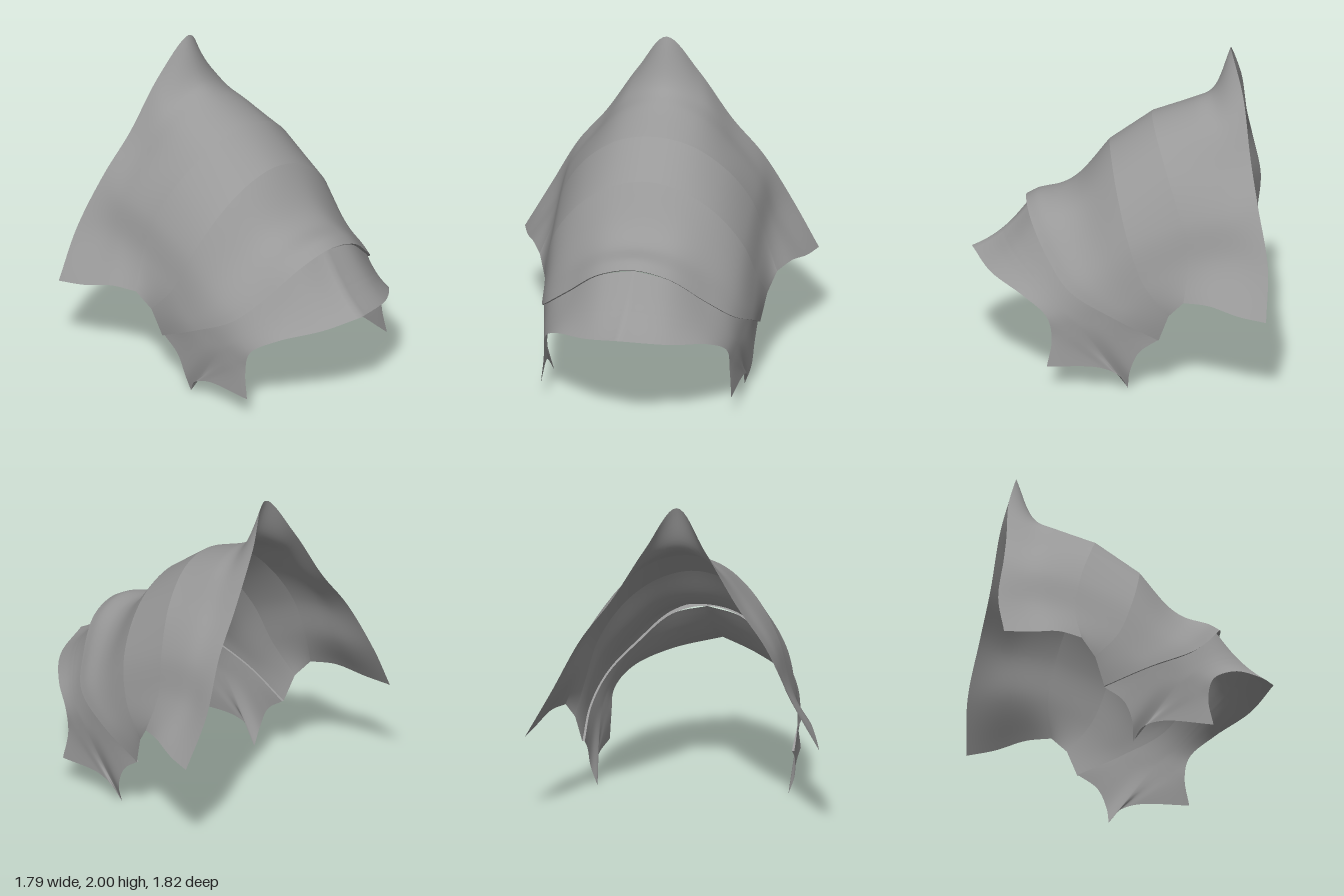
import * as THREE from 'three';
import { mergeVertices } from 'three/addons/utils/BufferGeometryUtils.js';

const V = (p) => new THREE.Vector3(p[0], p[1], p[2]);
const flip = (p) => [p[0], p[1], -p[2]];
const spline = (pts, n) => new THREE.CatmullRomCurve3(pts).getPoints(n);
const blend = (a, b, t) => a.map((p, c) => p.map((v, k) => v + (b[c][k] - v) * t));

// Arch across the shell, from the +z hem over the ridge to the -z hem
function arch(half, ridged) {
  const left = half.slice().reverse().map(V);
  const right = half.map(flip).map(V);
  right[0].copy(left[left.length - 1]);
  if (ridged) return [...spline(left, 40), ...spline(right, 40).slice(1)];
  return spline([...left, ...right.slice(1)], 80);
}

// Skin through half arches; each panel is smooth along its length
function skin(panels, ridged = false) {
  const pos = [], index = [];
  for (const rows of panels) {
    const arches = rows.map((r) => arch(r, ridged));
    const steps = (rows.length - 1) * 8, cols = arches[0].length;
    const base = pos.length / 3;
    const lines = arches[0].map((_, j) => spline(arches.map((a) => a[j]), steps));
    for (let i = 0; i <= steps; i++) {
      for (let j = 0; j < cols; j++) {
        pos.push(...lines[j][i].toArray());
        if (i < steps && j < cols - 1) {
          const a = base + i * cols + j, b = a + cols;
          index.push(a, b, a + 1, b, b + 1, a + 1);
        }
      }
    }
  }
  let geo = new THREE.BufferGeometry();
  geo.setAttribute('position', new THREE.Float32BufferAttribute(pos, 3));
  geo.setIndex(index);
  geo = mergeVertices(geo, 1e-4);
  geo.computeVertexNormals();
  return geo;
}

export function createModel() {
  const group = new THREE.Group();
  const grey = new THREE.MeshStandardMaterial({ color: 0x999999, side: THREE.DoubleSide });
  grey.name = 'grey';
  const add = (name, geo) => {
    const mesh = new THREE.Mesh(geo, grey);
    mesh.name = name;
    group.add(mesh);
  };

  // Half arches of the hood, each from ridge to hem
  const rearRim = [[-0.68, 2, 0], [-0.75, 1.75, 0.185], [-0.79, 1.42, 0.39], [-0.83, 1.18, 0.57], [-0.885, 0.85, 0.745], [-0.87, 0.55, 0.91]];
  const flare = [[-0.57, 1.72, 0], [-0.61, 1.6, 0.235], [-0.66, 1.36, 0.42], [-0.69, 1.12, 0.59], [-0.71, 0.85, 0.69], [-0.7, 0.575, 0.865]];
  const back = [[-0.45, 1.645, 0], [-0.47, 1.57, 0.23], [-0.52, 1.36, 0.425], [-0.56, 1.11, 0.59], [-0.57, 0.85, 0.67], [-0.52, 0.62, 0.8]];
  const crown = [[-0.2, 1.55, 0], [-0.22, 1.5, 0.22], [-0.28, 1.33, 0.43], [-0.36, 1.08, 0.585], [-0.4, 0.83, 0.655], [-0.37, 0.615, 0.735]];
  const brow = [[0.06, 1.37, 0], [0.05, 1.315, 0.22], [0.02, 1.17, 0.42], [-0.04, 0.94, 0.58], [-0.13, 0.7, 0.65], [-0.28, 0.51, 0.69]];
  const frontRim = [[0.57, 1.015, 0], [0.545, 0.955, 0.22], [0.45, 0.785, 0.42], [0.32, 0.63, 0.575], [0.06, 0.485, 0.65], [-0.22, 0.335, 0.655]];

  // The front of the hood sags towards its ridge before the rim
  const sag = [[0, 0], [0.37, 0.11], [0.57, 0.1], [0.86, 0.015], [1, 0]];
  const front = sag.map(([t, dip]) =>
    blend(brow, frontRim, t).map(([x, y, z], c) => [x, y - dip * (1 - c / 5), z]));
  add('hoodRear', skin([[rearRim, flare, back, crown]]));
  add('hoodMiddle', skin([[crown, brow]]));
  add('hoodFront', skin([front]));

  // Lip turns inward under the front rim
  const inner = frontRim.map(([x, y, z], c) =>
    [x - 0.03 * (1 - c / 5), y - 0.018 * (1 - c / 5), z - 0.003 * c]);
  add('hoodLip', skin([[frontRim, inner]]));

  // Visor runs from the lip to its own peaked edge; its hem dips to a spike
  const peak = [[0.9, 0.69, 0.04], [0.79, 0.635, 0.26], [0.6, 0.565, 0.475], [0.46, 0.46, 0.565], [0.43, 0.32, 0.575], [0.46, 0.145, 0.59]];
  const hem = [[-0.22, 0.335, 0.64], [-0.1, 0.25, 0.64], [-0.045, 0.12, 0.63], [-0.035, 0, 0.59], [0.02, 0.09, 0.615], [0.14, 0.142, 0.61], [0.46, 0.145, 0.59]];
  const visor = hem.map((hemPoint, i) => {
    const dip = 0.04 * Math.sin(Math.PI * i / 6);
    const row = blend(inner, peak, i / 6).map(([x, y, z], c) => [x, y - dip * (1 - c / 5), z]);
    row[5] = hemPoint;
    return row;
  });
  add('visor', skin([visor.slice(0, 4), visor.slice(3)], true));

  return group;
}
